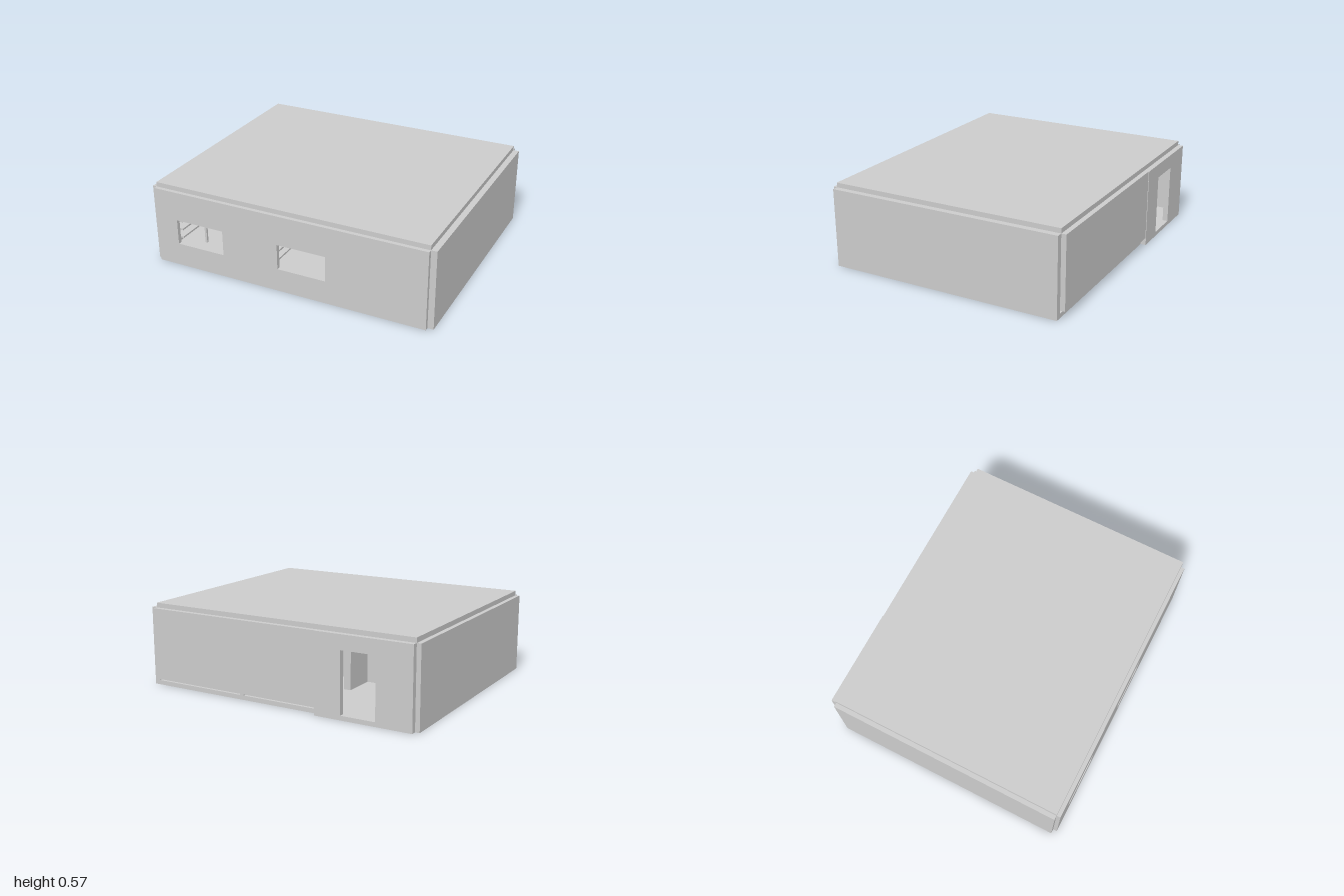
import * as THREE from 'three';

const material = new THREE.MeshStandardMaterial({ color: 0xcccccc, flatShading: true });

export function createModel() {
  const model = new THREE.Group();

  // Box given by its lower and upper limits on each axis
  const box = (name, [x0, x1], [y0, y1], [z0, z1], parent = model) => {
    const mesh = new THREE.Mesh(new THREE.BoxGeometry(x1 - x0, y1 - y0, z1 - z0), material);
    mesh.position.set((x0 + x1) / 2, (y0 + y1) / 2, (z0 + z1) / 2);
    mesh.name = name;
    parent.add(mesh);
    return mesh;
  };

  // Upright wall facing z, with rectangular openings [x0, x1, y0, y1]
  const rectangle = (path, x0, x1, y0, y1) =>
    path.moveTo(x0, y0).lineTo(x1, y0).lineTo(x1, y1).lineTo(x0, y1).closePath();
  const wall = (name, x, y, z, openings) => {
    const shape = rectangle(new THREE.Shape(), ...x, ...y);
    for (const o of openings) shape.holes.push(rectangle(new THREE.Path(), ...o));
    const geometry = new THREE.ExtrudeGeometry(shape, { depth: z[1] - z[0], bevelEnabled: false });
    const mesh = new THREE.Mesh(geometry, material);
    mesh.position.z = z[0];
    mesh.name = name;
    model.add(mesh);
  };

  // Four-legged table
  const table = (name, [x0, x1], top, [z0, z1]) => {
    const group = new THREE.Group();
    group.name = name;
    box('tableTop', [x0, x1], [top - 0.015, top], [z0, z1], group);
    for (const x of [x0, x1 - 0.015])
      for (const z of [z0, z1 - 0.015])
        box('tableLeg', [x, x + 0.015], [0.03, top - 0.015], [z, z + 0.015], group);
    model.add(group);
  };

  // Slabs
  const spanX = [-0.97, 0.96], spanZ = [-0.8, 0.81];
  box('floor', spanX, [0, 0.03], spanZ);
  box('roof', spanX, [0.535, 0.57], spanZ);

  // Outer walls, leaving notched corners
  box('rightWall', [-1, -0.97], [0, 0.538], spanZ);
  box('leftWall', [0.96, 1], [0, 0.538], spanZ);
  wall('frontWall', spanX, [0, 0.538], [0.81, 0.837],
    [[-0.81, -0.46, 0.16, 0.335], [-0.057, 0.283, 0.16, 0.335]]);
  wall('backDoorWall', [-0.97, -0.3], [0, 0.538], [-0.837, -0.8], [[-0.725, -0.485, 0.03, 0.44]]);
  box('backLongWall', [-0.3, 0.96], [0.05, 0.538], [-0.833, -0.8]);

  // Inner partitions
  box('middlePartition', [-0.28, -0.23], [0.03, 0.535], [-0.35, 0.81]);
  box('crossPartition', [-0.97, -0.28], [0.03, 0.535], [-0.12, -0.08]);
  box('rearPartition', [0.26, 0.29], [0.03, 0.535], [-0.8, -0.3]);

  // Furniture
  table('frontTable', [-0.8, -0.5], 0.165, [0.25, 0.55]);
  box('cabinet', [-0.655, -0.56], [0.03, 0.265], [-0.08, 0.02]);
  table('sideTable', [-0.97, -0.82], 0.2, [-0.5, -0.15]);
  for (const y of [0.12, 0.18, 0.24]) {
    box('middleShelf', [-0.23, -0.14], [y, y + 0.012], [0.4, 0.7]);
    box('sideShelf', [-0.97, -0.87], [y, y + 0.012], [0.3, 0.7]);
  }
  return model;
}
